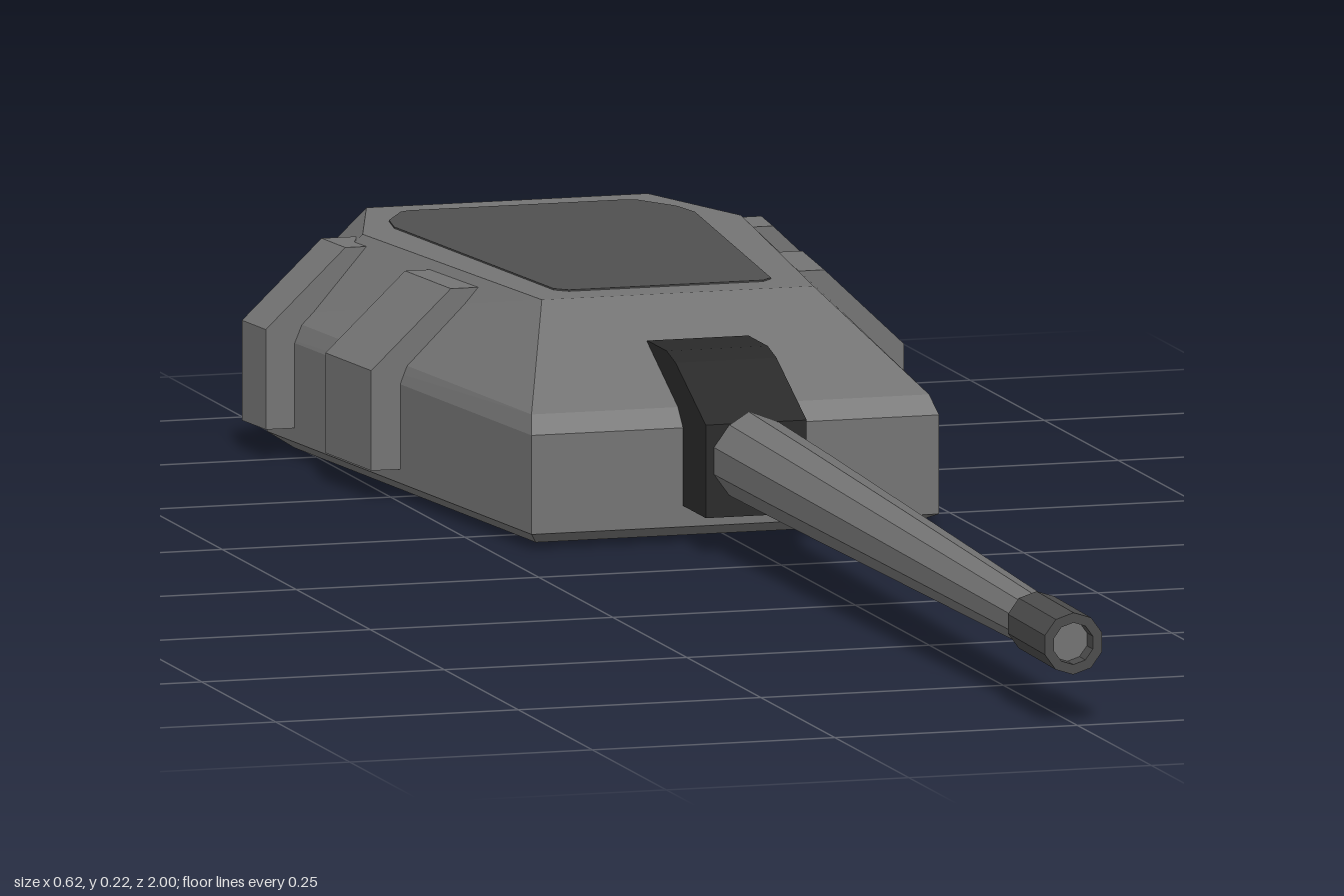
import * as THREE from 'three';

const mat = (name, color) => {
  const m = new THREE.MeshStandardMaterial({ color });
  m.name = name;
  return m;
};

// Joins convex rings of [x, y, z] points into a closed, flat-faceted solid
function loft(rings) {
  const out = [];
  const tri = (a, b, c) => out.push(...a, ...b, ...c);
  const n = rings[0].length;
  for (let r = 0; r < rings.length - 1; r++) {
    const a = rings[r], b = rings[r + 1];
    for (let i = 0; i < n; i++) {
      const j = (i + 1) % n;
      tri(a[i], a[j], b[j]);
      tri(a[i], b[j], b[i]);
    }
  }
  const first = rings[0], last = rings[rings.length - 1];
  for (let i = 1; i < n - 1; i++) {
    tri(first[0], first[i + 1], first[i]);
    tri(last[0], last[i], last[i + 1]);
  }
  const g = new THREE.BufferGeometry();
  g.setAttribute('position', new THREE.Float32BufferAttribute(out, 3));
  g.computeVertexNormals();
  return g;
}

// Mirrors half an outline of [x, z], listed front to rear, into a full ring at height y
const outline = (y, half) => [
  ...half.map(([x, z]) => [x, y, z]),
  ...[...half].reverse().map(([x, z]) => [-x, y, z]),
];

export function createModel() {
  const group = new THREE.Group();
  const armour = mat('armour grey', 0x737373);
  const panelGrey = mat('panel grey', 0x4f4f4f);
  const mantletDark = mat('mantlet charcoal', 0x292929);
  const muzzleDark = mat('muzzle grey', 0x4b4b4b);

  const add = (name, geometry, material) => {
    const mesh = new THREE.Mesh(geometry, material);
    mesh.name = name;
    group.add(mesh);
    return mesh;
  };

  // Turret shell: six-sided plan, chamfered below and sloped above
  add('turretShell', loft([
    outline(0, [[0.192, -0.2], [0.255, -0.81], [0.19, -0.945]]),
    outline(0.016, [[0.21, -0.155], [0.28, -0.82], [0.21, -1]]),
    outline(0.115, [[0.21, -0.155], [0.28, -0.82], [0.21, -1]]),
    outline(0.133, [[0.205, -0.172], [0.272, -0.815], [0.203, -0.987]]),
    outline(0.216, [[0.14, -0.35], [0.195, -0.775], [0.145, -0.926]]),
  ]), armour);

  // Roof panel with clipped corners
  const roof = [[0.1, -0.39], [0.112, -0.402], [0.155, -0.8], [0.148, -0.84], [0.122, -0.885], [0.112, -0.89]];
  add('roofPanel', loft([outline(0.213, roof), outline(0.2175, roof)]), panelGrey);

  // Side straps follow the tapering walls; profile is [offset from wall, y]
  const profile = [[-0.03, 0.03], [0.03, 0.03], [0.03, 0.13], [-0.052, 0.208], [-0.09, 0.208]];
  const wall = z => 0.21 + (-0.155 - z) * 0.105;
  for (const [label, z0, z1] of [['front', -0.6, -0.485], ['rear', -0.81, -0.75]]) {
    const ring = z => profile.map(([d, y]) => [wall(z) + d, y, z]);
    const geometry = loft([ring(z0), ring(z1)]);
    add(label + 'StrapLeft', geometry, armour);
    add(label + 'StrapRight', geometry, armour).scale.x = -1;
  }

  // Gun mantlet: side profile [z, y] extruded across x
  const side = [[-0.078, 0.037], [-0.32, 0.037], [-0.32, 0.16], [-0.275, 0.183],
    [-0.21, 0.183], [-0.18, 0.176], [-0.078, 0.13]];
  add('gunMantlet', loft([-0.054, 0.05].map(x => side.map(([z, y]) => [x, y, z]))), mantletDark);

  // Gun: tapered ten-sided barrel with a hollow muzzle sleeve, tilted slightly down
  const gun = new THREE.Group();
  gun.name = 'gun';
  const sweep = (name, points, material) => {
    const g = new THREE.LatheGeometry(points.map(([r, l]) => new THREE.Vector2(r, l)), 10).toNonIndexed();
    g.computeVertexNormals();
    const mesh = new THREE.Mesh(g, material);
    mesh.name = name;
    gun.add(mesh);
  };
  sweep('barrel', [[0.044, 0], [0.041, 0.2], [0.025, 1.03], [0.021, 1.08], [0, 1.08]], armour);
  sweep('muzzle', [[0.022, 0.975], [0.031, 0.975], [0.031, 1.1], [0.021, 1.1], [0.021, 1.07]], muzzleDark);
  gun.rotation.x = Math.PI / 2 + 0.011;
  gun.position.set(-0.004, 0.094, -0.1);
  group.add(gun);

  return group;
}
